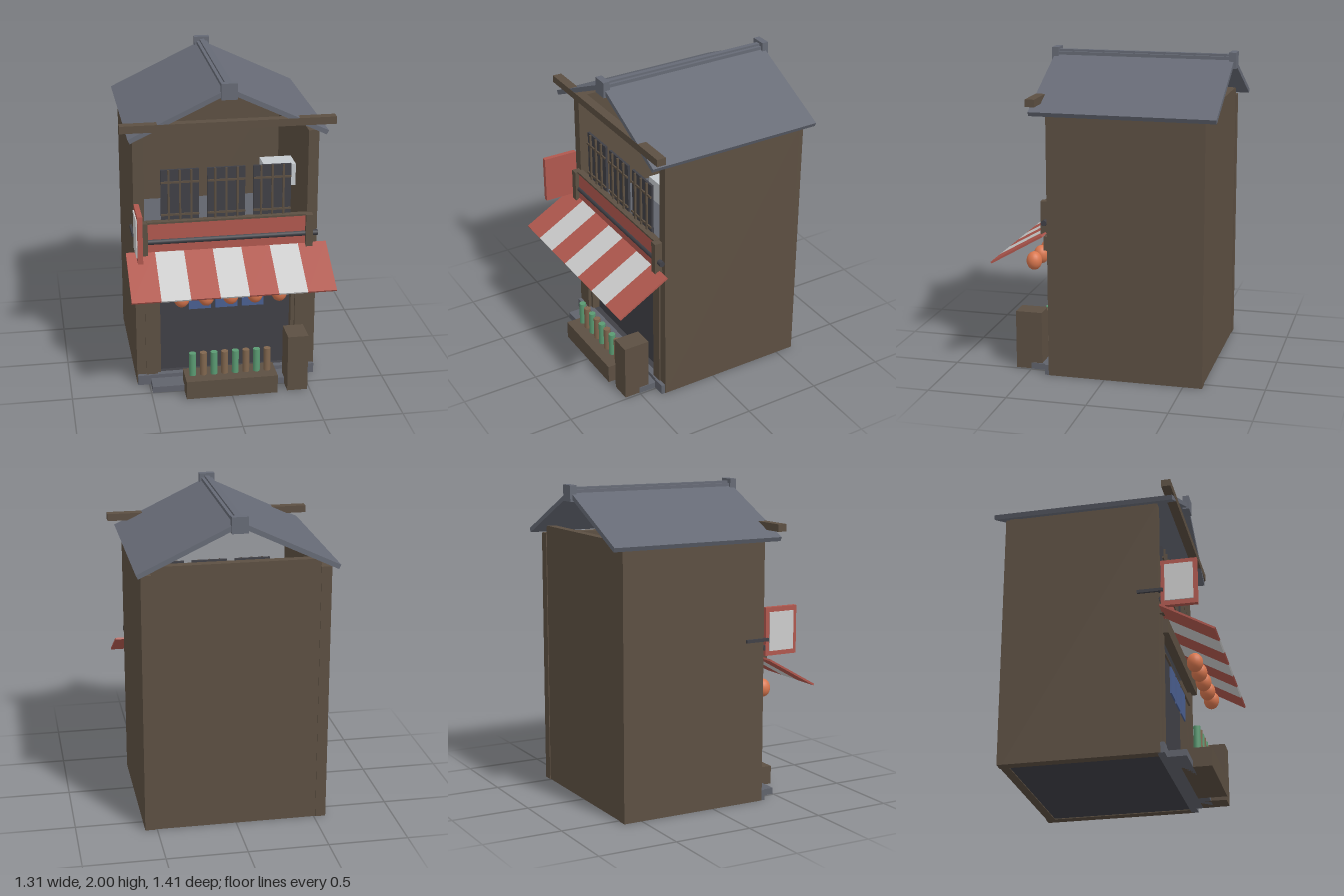
import * as THREE from 'three';

const mat = (color, extra = {}) => new THREE.MeshStandardMaterial({ color, ...extra });
const M = {
  wood: mat(0x5c4f42), roof: mat(0x666a75), red: mat(0xb0584e), white: mat(0xdcdcd8),
  dark: mat(0x404046), stone: mat(0x60636c), blue: mat(0x4a5f90), lantern: mat(0xd9774f),
  green: mat(0x5a9a72), brown: mat(0x80664e), unit: mat(0xc4c9ce),
};

export function createModel() {
  const model = new THREE.Group();

  const add = (name, geo, material, x = 0, y = 0, z = 0) => {
    const mesh = new THREE.Mesh(geo, material);
    mesh.name = name;
    mesh.position.set(x, y, z);
    model.add(mesh);
    return mesh;
  };
  // Box given by its extents on each axis
  const box = (name, material, x0, x1, y0, y1, z0, z1) =>
    add(name, new THREE.BoxGeometry(x1 - x0, y1 - y0, z1 - z0), material,
      (x0 + x1) / 2, (y0 + y1) / 2, (z0 + z1) / 2);
  // Same box on both sides of x = 0
  const pair = (name, material, x0, x1, ...rest) => {
    box(name + 'Left', material, x0, x1, ...rest);
    box(name + 'Right', material, -x1, -x0, ...rest);
  };

  // Shell: side walls and back wall, open at the front and under the gables
  pair('sideWall', M.wood, 0.51, 0.575, 0, 1.65, -0.59, 0.36);
  pair('backPost', M.wood, 0.51, 0.575, 0, 1.65, -0.62, -0.59);
  box('backWall', M.wood, -0.51, 0.51, 0, 1.7, -0.615, -0.56);
  box('groundSlab', M.dark, -0.51, 0.51, 0.005, 0.06, -0.56, 0.35);
  box('frontSill', M.stone, -0.56, 0.56, 0, 0.065, 0.34, 0.38);
  pair('sillBlock', M.stone, 0.49, 0.572, 0, 0.065, 0.35, 0.385);
  box('doorStep', M.stone, -0.49, 0.49, 0, 0.04, 0.38, 0.5);

  // Ground floor front and the floor above
  box('shopFront', M.dark, -0.43, 0.43, 0.06, 0.88, 0.27, 0.3);
  box('upperFloor', M.stone, -0.51, 0.51, 0.87, 0.91, -0.56, 0.35);
  pair('frontPost', M.wood, 0.443, 0.517, 0.04, 0.92, 0.3, 0.37);
  pair('doorJamb', M.wood, 0.42, 0.445, 0.06, 0.88, 0.27, 0.35);
  box('lintel', M.wood, -0.5, 0.5, 0.79, 0.88, 0.35, 0.405);

  // Door curtain
  const rod = add('curtainRod', new THREE.CylinderGeometry(0.008, 0.008, 0.84, 8), M.wood, 0, 0.69, 0.365);
  rod.rotation.z = Math.PI / 2;
  for (const x of [-0.17, 0, 0.17])
    box('curtainPanel', M.blue, x - 0.07, x + 0.07, 0.505, 0.69, 0.36, 0.37);

  // Upper windows with lattice bars
  for (const x of [-0.2875, 0, 0.2875]) {
    box('windowPane', M.dark, x - 0.118, x + 0.118, 1.1, 1.44, 0.34, 0.355);
    for (const i of [-1, 0, 1])
      box('windowBar', M.wood, x + i * 0.07 - 0.006, x + i * 0.07 + 0.006, 1.1, 1.44, 0.355, 0.367);
    for (const y of [1.15, 1.36])
      box('windowRail', M.wood, x - 0.118, x + 0.118, y - 0.006, y + 0.006, 0.355, 0.364);
  }

  // Air conditioner behind the right-hand window
  box('airConditioner', M.unit, 0.25, 0.45, 1.27, 1.41, 0.12, 0.28);
  for (let i = 0; i < 4; i++)
    box('airVent', M.dark, 0.28, 0.42, 1.295 + i * 0.028, 1.303 + i * 0.028, 0.115, 0.12);

  // Sign board over the awning
  box('signBoard', M.red, -0.5, 0.5, 0.91, 1.11, 0.35, 0.385);
  box('signTopRail', M.wood, -0.5, 0.5, 1.105, 1.117, 0.35, 0.392);
  pair('signPost', M.wood, 0.495, 0.54, 0.905, 1.115, 0.35, 0.41);
  const roller = add('awningRoller', new THREE.CylinderGeometry(0.018, 0.018, 1.15, 12), M.dark, 0, 0.985, 0.38);
  roller.rotation.z = Math.PI / 2;

  // Projecting side sign
  box('sideSign', M.red, -0.576, -0.545, 0.935, 1.24, 0.375, 0.6);
  box('sideSignPanel', M.white, -0.583, -0.576, 0.965, 1.21, 0.4, 0.575);
  box('sideSignBracket', M.dark, -0.59, -0.56, 1.03, 1.05, 0.23, 0.39);

  // Striped awning, sloping down to the front
  const top = [0.376, 0.917], low = [0.707, 0.727];
  const run = low[0] - top[0], drop = top[1] - low[1];
  for (let i = 0; i < 7; i++) {
    const stripe = add('awningStripe', new THREE.BoxGeometry(0.18, 0.012, Math.hypot(run, drop)),
      i % 2 ? M.white : M.red, (i - 3) * 0.18, (top[1] + low[1]) / 2, (top[0] + low[0]) / 2);
    stripe.rotation.x = Math.atan2(drop, run);
  }

  // Lanterns
  for (let i = -2; i <= 2; i++) {
    const lantern = add('lantern', new THREE.SphereGeometry(0.05, 20, 14), M.lantern, i * 0.153, 0.663, 0.53);
    lantern.scale.y = 1.2;
  }

  // Bench with a row of bottles, and a tall crate beside it
  box('bench', M.wood, -0.29, 0.29, 0, 0.12, 0.43, 0.615);
  for (let i = 0; i < 8; i++)
    add('bottle', new THREE.CylinderGeometry(0.022, 0.022, 0.155, 14), i % 2 ? M.brown : M.green,
      -0.239 + i * 0.068, 0.195, 0.52);
  box('tallCrate', M.wood, 0.355, 0.485, 0, 0.375, 0.43, 0.6);

  // Roof: two slopes drawn as one gable outline and extruded front to back
  const outline = [[-0.61, 1.678], [0, 1.968], [0.61, 1.678], [0.597, 1.652], [0, 1.935], [-0.597, 1.652]];
  const gable = new THREE.Shape(outline.map(([x, y]) => new THREE.Vector2(x, y)));
  add('roof', new THREE.ExtrudeGeometry(gable, { depth: 1.15, bevelEnabled: false }), M.roof, 0, 0, -0.69);

  // Ridge tiles, ridge end blocks and the front eave beam
  box('ridgeBase', M.roof, -0.035, 0.035, 1.935, 1.972, -0.68, 0.45);
  box('ridgeTop', M.roof, -0.015, 0.015, 1.965, 1.985, -0.68, 0.45);
  for (const z of [-0.705, 0.43])
    box('ridgeEnd', M.roof, -0.05, 0.05, 1.9, 2, z, z + 0.043);
  box('eaveBeam', M.wood, -0.657, 0.657, 1.717, 1.763, 0.403, 0.461);

  return model;
}
